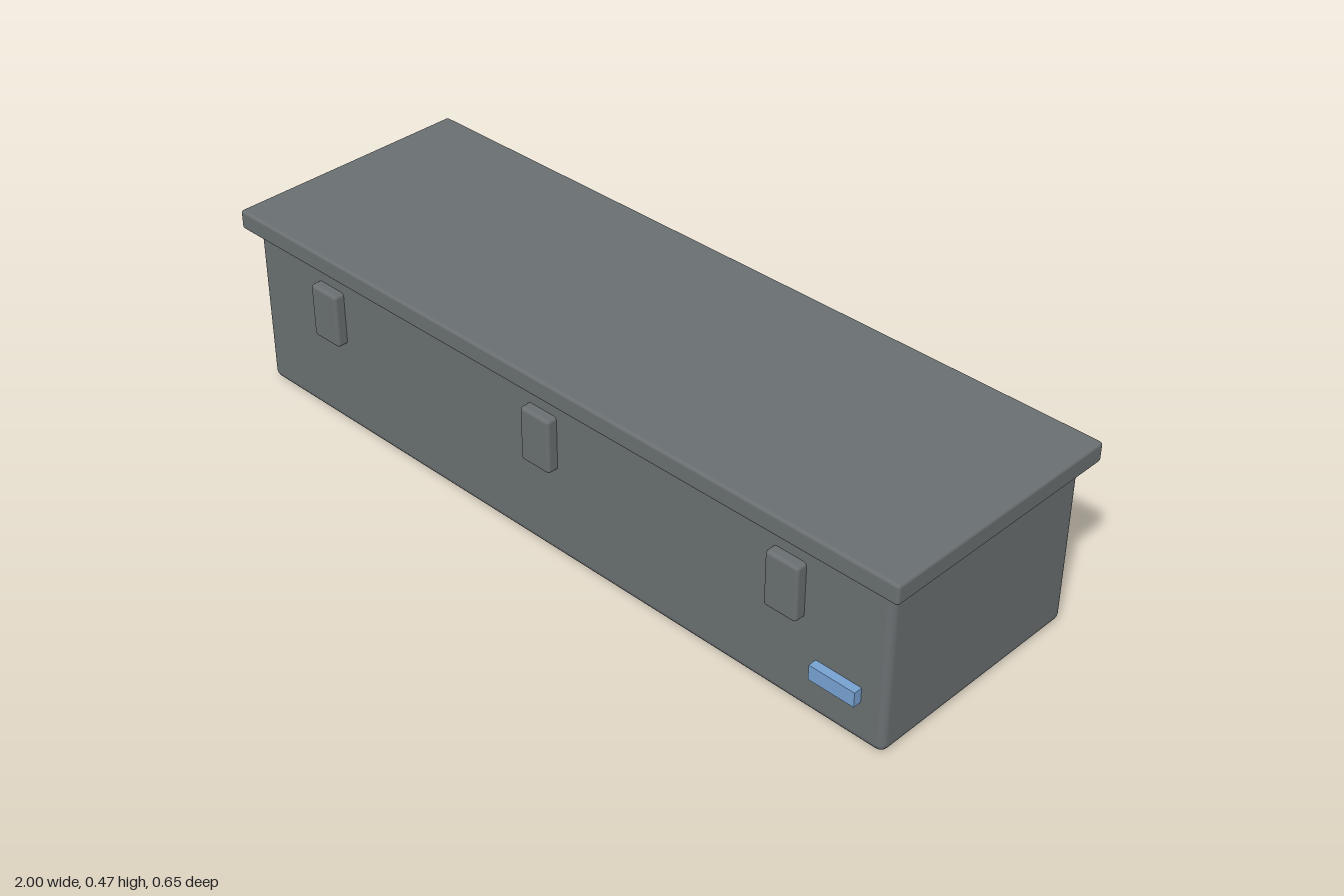
import * as THREE from 'three';
import { RoundedBoxGeometry } from 'three/addons/geometries/RoundedBoxGeometry.js';

export function createModel() {
  const model = new THREE.Group();
  model.name = 'storageChest';

  const grey = new THREE.MeshStandardMaterial({ color: 0x6a6f71 });
  grey.name = 'slate grey';
  const blue = new THREE.MeshStandardMaterial({ color: 0x78a2d2 });
  blue.name = 'light blue';

  // Box given by its size, bevel radius and centre
  function addBox(name, material, [w, h, d], radius, [x, y, z]) {
    const geometry = radius
      ? new RoundedBoxGeometry(w, h, d, 2, radius)
      : new THREE.BoxGeometry(w, h, d);
    const mesh = new THREE.Mesh(geometry, material);
    mesh.name = name;
    mesh.position.set(x, y, z);
    model.add(mesh);
  }

  // Chest body and overhanging lid
  addBox('body', grey, [1.94, 0.42, 0.6], 0.02, [0, 0.21, 0]);
  addBox('lid', grey, [2, 0.05, 0.654], 0.008, [0, 0.444, 0]);

  // Three front latches, partly sunk into the body
  ['rightLatch', 'middleLatch', 'leftLatch'].forEach((name, i) => {
    addBox(name, grey, [0.088, 0.14, 0.054], 0.009, [(i - 1) * 0.708, 0.302, 0.3]);
  });

  // Small plate low on the front
  addBox('badge', blue, [0.12, 0.038, 0.043], 0, [0.848, 0.125, 0.3]);

  return model;
}
